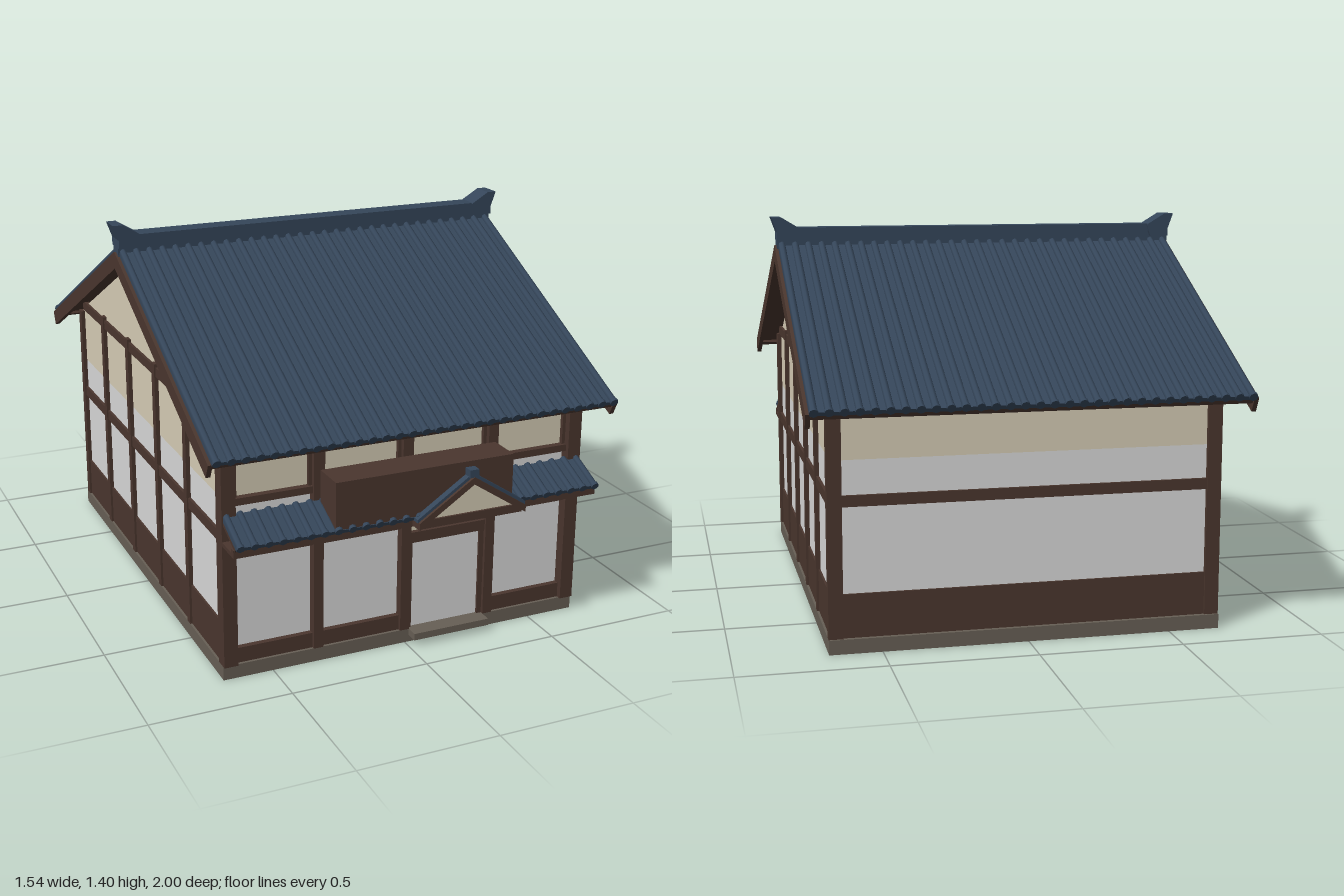
import * as THREE from 'three';

const mat = (name, color) => Object.assign(new THREE.MeshStandardMaterial({ color }), { name });

export function createModel() {
  const house = new THREE.Group();
  house.name = 'house';
  const wood = mat('darkWood', 0x4a362e);
  const slate = mat('roofTile', 0x35465a);
  const cream = mat('creamPlaster', 0xd6cdb6);
  const white = mat('whitePanel', 0xd9d9d9);
  const stone = mat('stone', 0x675f55);

  const ZC = -0.017; // ridge line
  const PITCH = 0.456;

  function add(name, geometry, material, parent = house) {
    const mesh = new THREE.Mesh(geometry, material);
    mesh.name = name;
    parent.add(mesh);
    return mesh;
  }
  // box from its limits on each axis
  function box(name, material, x0, x1, y0, y1, z0, z1, parent = house) {
    const mesh = add(name, new THREE.BoxGeometry(x1 - x0, y1 - y0, z1 - z0), material, parent);
    mesh.position.set((x0 + x1) / 2, (y0 + y1) / 2, (z0 + z1) / 2);
    return mesh;
  }
  // polygon in x, y drawn out along z
  function prism(name, material, points, z0, z1, parent = house) {
    const shape = new THREE.Shape(points.map(([x, y]) => new THREE.Vector2(x, y)));
    const geometry = new THREE.ExtrudeGeometry(shape, { depth: z1 - z0, bevelEnabled: false });
    const mesh = add(name, geometry, material, parent);
    mesh.position.z = z0;
    return mesh;
  }
  // tiled slope falling towards +z from its top edge
  function tiledSlope(name, half, length, count, radius, parent) {
    const slope = new THREE.Group();
    slope.name = name;
    parent.add(slope);
    box('roofBoards', wood, -half, half, -0.012, 0, 0, length - 0.01, slope);
    box('tileBed', slate, -half, half, 0, 0.014, 0, length, slope);
    const roll = new THREE.CylinderGeometry(radius, radius, length, 8);
    const cap = new THREE.CylinderGeometry(radius * 1.2, radius * 1.2, 0.012, 8);
    roll.rotateX(Math.PI / 2);
    cap.rotateX(Math.PI / 2);
    for (let i = 0; i < count; i++) {
      const x = (half - radius) * (-1 + 2 * i / (count - 1));
      add('tileRoll', roll, slate, slope).position.set(x, 0.014, length / 2);
      add('tileEnd', cap, slate, slope).position.set(x, 0.014, length);
    }
    return slope;
  }

  // base and step
  box('foundation', stone, -0.68, 0.68, 0, 0.05, -0.857, 0.83);
  box('doorStep', stone, 0.015, 0.31, 0.025, 0.05, 0.8, 0.875);

  // walls: white below, cream gabled block above
  box('lowerWalls', white, -0.665, 0.665, 0.05, 0.65, -0.835, 0.8);
  const under = z => 1.268 - Math.tan(PITCH) * Math.abs(z - ZC);
  const gable = prism('gabledWalls', cream, [
    [-0.8, 0.65], [0.835, 0.65], [0.835, under(-0.835)], [-ZC, under(ZC)], [-0.8, under(0.8)],
  ], 0, 1.33);
  gable.rotation.y = Math.PI / 2;
  gable.position.set(-0.665, 0, 0);

  // corner posts and side timbers, mirrored
  for (const s of [-1, 1]) {
    const side = (name, x0, x1, y0, y1, z0, z1) =>
      box(name, wood, Math.min(s * x0, s * x1), Math.max(s * x0, s * x1), y0, y1, z0, z1);
    side('frontCornerPost', 0.63, 0.68, 0.05, 0.87, 0.785, 0.84);
    side('backCornerPost', 0.63, 0.68, 0.05, 0.86, -0.85, -0.815);
    side('sideBaseBoard', 0.655, 0.672, 0.05, 0.2, -0.82, 0.79);
    side('sideRail', 0.655, 0.675, 0.495, 0.533, -0.82, 0.79);
    side('upperSideRail', 0.655, 0.675, 0.873, 0.908, -0.8, 0.77);
    for (const z of [0.475, 0.147, -0.18, -0.505])
      side('sidePost', 0.655, 0.68, 0.05, 0.92, z - 0.016, z + 0.016);
  }

  // back timbers
  box('backBaseBoard', wood, -0.64, 0.64, 0.05, 0.2, -0.842, -0.82);
  box('backRail', wood, -0.64, 0.64, 0.495, 0.533, -0.845, -0.82);

  // front timbers
  box('frontCream', cream, -0.63, 0.63, 0.473, 0.51, 0.798, 0.805);
  box('frontRailLeftBays', wood, -0.64, 0, 0.435, 0.473, 0.79, 0.822);
  box('frontRailRightBay', wood, 0.33, 0.64, 0.435, 0.473, 0.79, 0.822);
  box('frontBaseLeftBays', wood, -0.64, 0, 0.05, 0.105, 0.79, 0.82);
  box('frontBaseRightBay', wood, 0.33, 0.64, 0.05, 0.105, 0.79, 0.82);
  box('upperSill', wood, -0.64, 0.64, 0.625, 0.65, 0.79, 0.825);
  box('topBeam', wood, -0.64, 0.64, 0.83, 0.86, 0.78, 0.825);
  for (const x of [-0.332, -0.002, 0.328]) box('frontPost', wood, x - 0.018, x + 0.018, 0.05, 0.86, 0.785, 0.832);
  const bays = [[-0.63, -0.35], [-0.314, -0.02], [0.016, 0.31], [0.346, 0.63]];
  for (const [a, b] of bays) {
    box('windowFrame', wood, a, a + 0.012, 0.65, 0.84, 0.79, 0.815);
    box('windowFrame', wood, b - 0.012, b, 0.65, 0.84, 0.79, 0.815);
  }

  // door
  box('doorPanel', white, 0.028, 0.292, 0.05, 0.376, 0.803, 0.812);
  box('doorHeader', wood, 0.01, 0.315, 0.376, 0.415, 0.79, 0.825);
  box('doorOverPanel', cream, 0.016, 0.31, 0.415, 0.5, 0.799, 0.807);
  for (const [a, b] of [[0.014, 0.028], [0.292, 0.312]])
    box('doorJamb', wood, a, b, 0.05, 0.38, 0.79, 0.82);

  // main roof, front and back
  for (const [name, turn] of [['frontRoof', 0], ['backRoof', Math.PI]]) {
    const half = new THREE.Group();
    half.name = name;
    half.position.set(0, 1.295, ZC);
    half.rotation.y = turn;
    house.add(half);
    const slope = tiledSlope('roofSlope', 0.745, 1.07, 31, 0.013, half);
    slope.rotation.x = PITCH;
    for (const x of [-0.749, 0.749])
      box('bargeBoard', wood, x - 0.008, x + 0.008, -0.053, 0.002, -0.0, 1.065, slope);
    box('eaveBoard', wood, -0.74, 0.74, -0.022, -0.002, 1.03, 1.06, slope);
  }

  // ridge with flared ends
  box('ridgeBase', slate, -0.75, 0.75, 1.28, 1.35, ZC - 0.028, ZC + 0.028);
  box('ridgeCap', slate, -0.75, 0.75, 1.335, 1.362, ZC - 0.038, ZC + 0.038);
  for (const s of [-1, 1]) {
    const horn = [[0.665, 1.358], [0.735, 1.4], [0.77, 1.4], [0.75, 1.345], [0.75, 1.315], [0.68, 1.315]];
    prism('ridgeEnd', slate, horn.map(([x, y]) => [s * x, y]), ZC - 0.042, ZC + 0.042);
  }

  // lower tiled eave across the front
  const lower = tiledSlope('lowerRoof', 0.675, 0.148, 28, 0.012, house);
  lower.position.set(0, 0.588, 0.825);
  lower.rotation.x = 0.42;
  box('lowerSoffit', wood, -0.68, 0.68, 0.498, 0.512, 0.8, 0.945);
  box('lowerEaveBoard', wood, -0.68, 0.68, 0.498, 0.526, 0.925, 0.945);
  box('frontBoard', wood, -0.33, 0.33, 0.542, 0.71, 0.84, 0.965);

  // small gabled porch roof
  const PX = 0.163;
  const chevron = (top, half, drop, t) => [
    [PX, top], [PX + half, top - drop], [PX + half, top - drop - t],
    [PX, top - t], [PX - half, top - drop - t], [PX - half, top - drop],
  ];
  prism('porchBargeBoards', wood, chevron(0.664, 0.203, 0.134, 0.026), 0.84, 1);
  prism('porchTiles', slate, chevron(0.676, 0.206, 0.136, 0.012), 0.84, 0.99);
  prism('porchGable', cream, [[PX - 0.18, 0.525], [PX + 0.18, 0.525], [PX, 0.642]], 0.84, 0.98);
  box('porchTieBeam', wood, PX - 0.195, PX + 0.195, 0.503, 0.532, 0.84, 0.988);
  box('porchRidge', slate, PX - 0.017, PX + 0.017, 0.662, 0.69, 0.84, 0.998);

  return house;
}
